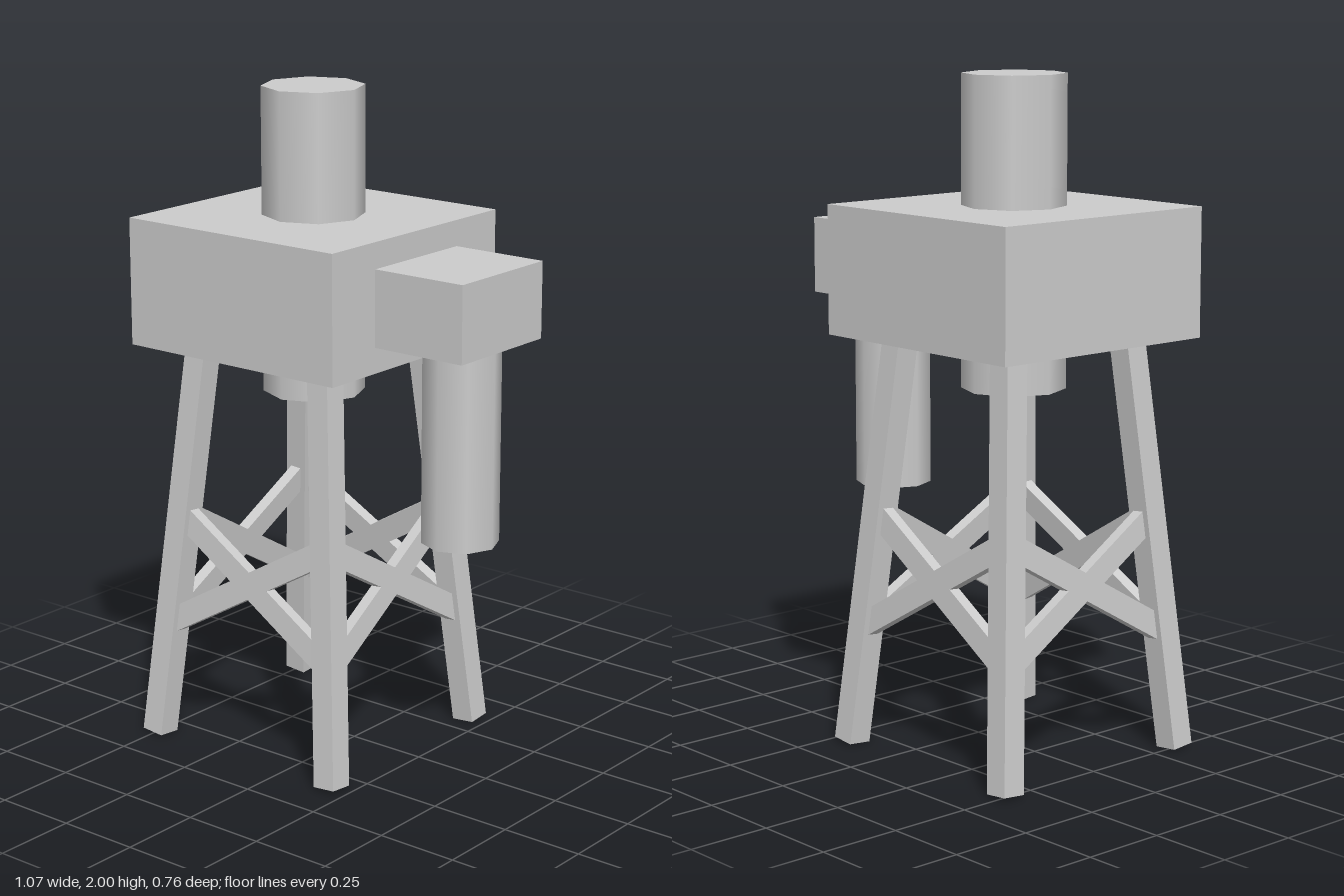
import * as THREE from 'three';

const material = new THREE.MeshStandardMaterial({ color: 0xcccccc });
const flat = new THREE.MeshStandardMaterial({ color: 0xcccccc, flatShading: true, side: THREE.DoubleSide });

const TOWER_X = -0.153;   // axis of the tower
const LEAN = 0.088;       // inward lean of the legs per unit of height
const spread = (y) => 0.342 - LEAN * y; // leg centre distance from the axis

function add(parent, name, geometry, x = 0, y = 0, z = 0, mat = material) {
  const mesh = new THREE.Mesh(geometry, mat);
  mesh.name = name;
  mesh.position.set(x, y, z);
  parent.add(mesh);
  return mesh;
}

// Square open-ended post, leaning towards the tower axis
function addLeg(parent, sx, sz) {
  const y0 = 0.007, y1 = 1.26;
  const a = new THREE.Vector3(sx * spread(y0), y0, sz * spread(y0));
  const b = new THREE.Vector3(sx * spread(y1), y1, sz * spread(y1));
  const r = 0.074 / Math.SQRT2;
  const geometry = new THREE.CylinderGeometry(r, r, a.distanceTo(b), 4, 1, true).rotateY(Math.PI / 4);
  const leg = add(parent, 'leg', geometry, 0, 0, 0, flat);
  leg.position.addVectors(a, b).multiplyScalar(0.5);
  leg.quaternion.setFromUnitVectors(new THREE.Vector3(0, 1, 0), b.sub(a).normalize());
}

// Diagonal bar lying in the leaning plane of one side
function addBrace(parent, side) {
  const low = 0.362, high = 0.707;
  const a = new THREE.Vector3(-side * spread(low), low, spread(low));
  const b = new THREE.Vector3(side * spread(high), high, spread(high));
  const u = b.clone().sub(a).normalize();
  const n = new THREE.Vector3(0, LEAN, 1).normalize();
  const v = new THREE.Vector3().crossVectors(n, u);
  const brace = add(parent, 'brace', new THREE.BoxGeometry(a.distanceTo(b), 0.072, 0.037));
  brace.position.addVectors(a, b).multiplyScalar(0.5);
  brace.quaternion.setFromRotationMatrix(new THREE.Matrix4().makeBasis(u, v, n));
}

export function createModel() {
  const model = new THREE.Group();
  model.name = 'pipeTower';

  // Main tank and the pipe running through it
  add(model, 'tank', new THREE.BoxGeometry(0.764, 0.382, 0.764), TOWER_X, 1.429, 0);
  add(model, 'mainPipe', new THREE.CylinderGeometry(0.153, 0.153, 0.915, 8), TOWER_X, 1.5425, 0);

  // Side box with its hanging pipe
  add(model, 'sideBox', new THREE.BoxGeometry(0.306, 0.228, 0.382), 0.381, 1.428, 0);
  add(model, 'sidePipe', new THREE.CylinderGeometry(0.115, 0.115, 0.62, 8), 0.395, 1.03, 0);

  // Four leaning legs with crossed braces on every side
  const stand = new THREE.Group();
  stand.name = 'stand';
  stand.position.x = TOWER_X;
  model.add(stand);
  for (const sx of [-1, 1]) for (const sz of [-1, 1]) addLeg(stand, sx, sz);
  for (let i = 0; i < 4; i++) {
    const cross = new THREE.Group();
    cross.name = 'crossBrace';
    cross.rotation.y = (i * Math.PI) / 2;
    addBrace(cross, 1);
    addBrace(cross, -1);
    stand.add(cross);
  }
  return model;
}
